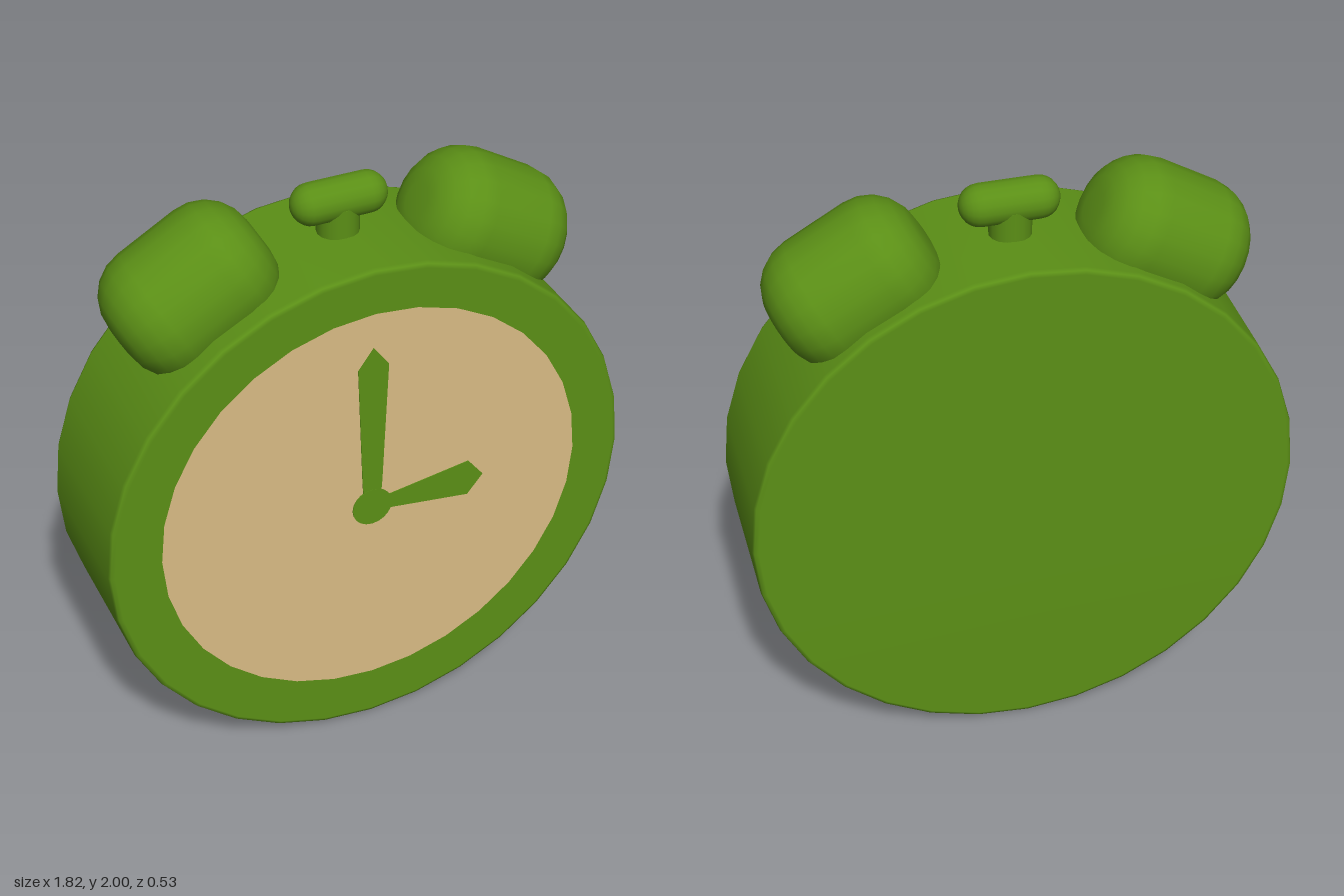
import * as THREE from 'three';

const green = new THREE.MeshStandardMaterial({ color: 0x5b8f16 });
const cream = new THREE.MeshStandardMaterial({ color: 0xd9bb85 });

function part(parent, name, geometry, material = green) {
  const mesh = new THREE.Mesh(geometry, material);
  mesh.name = name;
  parent.add(mesh);
  return mesh;
}

// Solid of revolution along y, from the lower axis point to the upper one
function roundedDrum(radius, half, corner, steps, sides) {
  const points = [new THREE.Vector2(0, -half)];
  for (const end of [-1, 1]) {
    for (let i = 0; i <= steps; i++) {
      const a = (end < 0 ? i / steps - 1 : i / steps) * Math.PI / 2;
      points.push(new THREE.Vector2(
        radius - corner + corner * Math.cos(a),
        end * (half - corner) + corner * Math.sin(a)));
    }
  }
  points.push(new THREE.Vector2(0, half));
  return new THREE.LatheGeometry(points, sides);
}

function handGeometry(corners) {
  const shape = new THREE.Shape(corners.map(([x, y]) => new THREE.Vector2(x, y)));
  return new THREE.ExtrudeGeometry(shape, { depth: 0.016, bevelEnabled: false });
}

export function createModel() {
  const clock = new THREE.Group();
  clock.name = 'alarmClock';

  // Case: a wide drum with a narrow rounded rim
  const body = part(clock, 'case', roundedDrum(0.912, 0.264, 0.018, 2, 32).rotateX(Math.PI / 2));
  body.position.set(0, 0.912, -0.003);

  // Dial, set almost flush in the front
  const dial = part(clock, 'dial', new THREE.CircleGeometry(0.737, 32), cream);
  dial.position.set(0, 0.932, 0.2635);

  // Hands and their hub, standing just proud of the dial
  const hands = new THREE.Group();
  hands.name = 'hands';
  hands.position.set(-0.007, 0.92, 0.25);
  clock.add(hands);
  part(hands, 'minuteHand', handGeometry(
    [[-0.028, 0], [0.028, 0], [0.035, 0.1], [0.053, 0.552], [0, 0.625], [-0.053, 0.552], [-0.035, 0.1]]));
  part(hands, 'hourHand', handGeometry(
    [[0, -0.022], [0.068, -0.024], [0.348, -0.06], [0.403, 0.008], [0.348, 0.078], [0.068, 0.034], [0, 0.03]]));
  part(hands, 'hub', new THREE.CylinderGeometry(0.07, 0.07, 0.017, 20).rotateX(Math.PI / 2))
    .position.z = 0.0085;

  // Bells: plump rounded drums leaning outward on the shoulders
  for (const side of [-1, 1]) {
    const bell = part(clock, side < 0 ? 'rightBell' : 'leftBell',
      roundedDrum(0.218, 0.268, 0.16, 5, 20));
    bell.position.set(side * 0.502, side < 0 ? 1.732 : 1.722, -0.015);
    bell.rotation.z = side * Math.PI / 3;
  }

  // Stop button: a short stem with a horizontal rounded bar
  part(clock, 'buttonStem', new THREE.CylinderGeometry(0.069, 0.069, 0.14, 16))
    .position.set(-0.003, 1.85, -0.015);
  const bar = part(clock, 'buttonBar', new THREE.CapsuleGeometry(0.069, 0.185, 6, 16).rotateZ(Math.PI / 2));
  bar.position.set(0, 1.931, -0.015);

  return clock;
}
